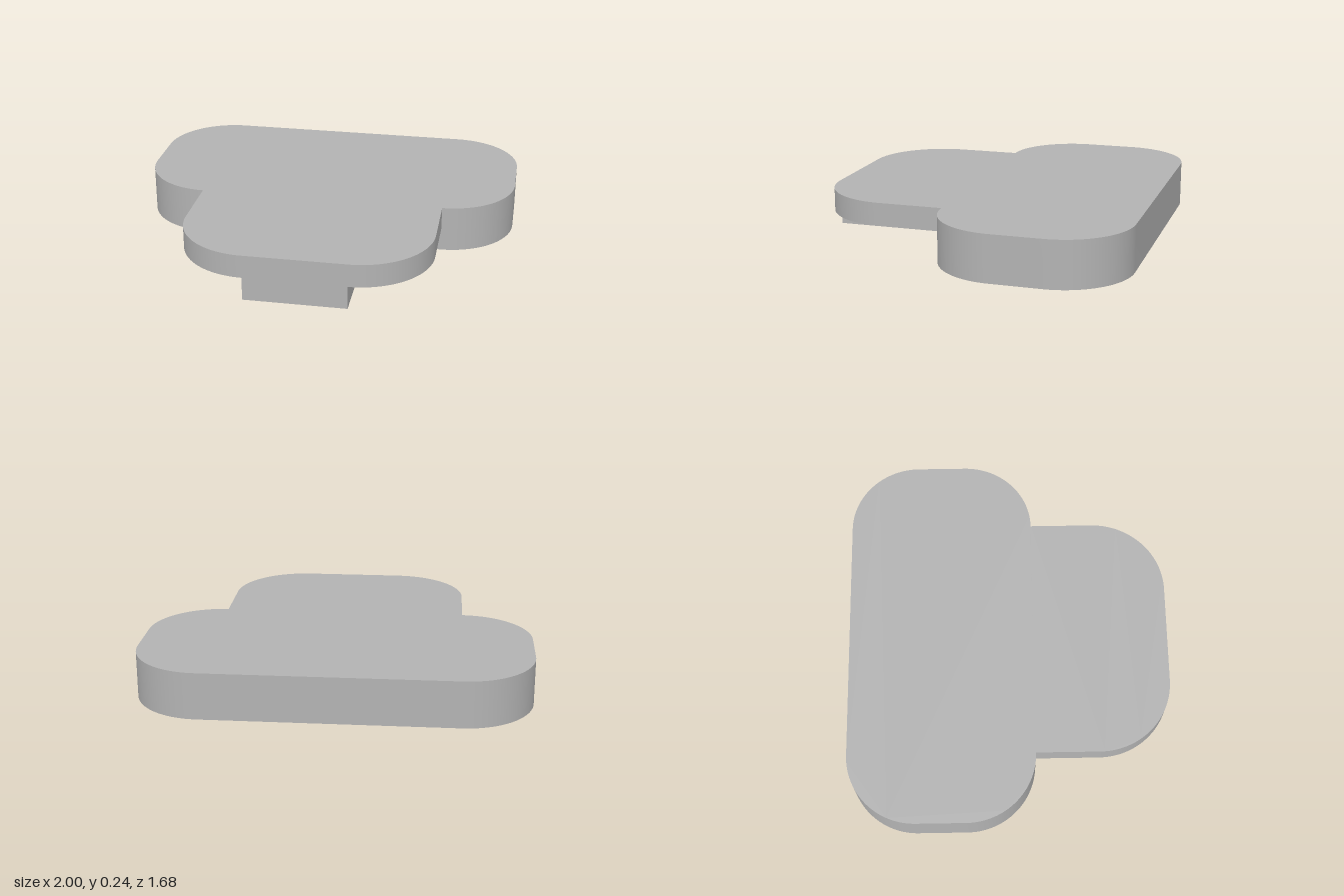
import * as THREE from 'three';
import { toCreasedNormals } from 'three/addons/utils/BufferGeometryUtils.js';

// Upright plate with its outline in x/z, rounded by rBack and rFront at the corners
function plate(halfW, zBack, zFront, yBottom, yTop, rBack, rFront) {
  const s = new THREE.Shape();
  const b = -zBack, f = -zFront; // shape y is -z
  s.moveTo(-halfW + rFront, f);
  s.lineTo(halfW - rFront, f);
  if (rFront) s.absarc(halfW - rFront, f + rFront, rFront, -Math.PI / 2, 0, false);
  s.lineTo(halfW, b - rBack);
  if (rBack) s.absarc(halfW - rBack, b - rBack, rBack, 0, Math.PI / 2, false);
  s.lineTo(-halfW + rBack, b);
  if (rBack) s.absarc(-halfW + rBack, b - rBack, rBack, Math.PI / 2, Math.PI, false);
  s.lineTo(-halfW, f + rFront);
  if (rFront) s.absarc(-halfW + rFront, f + rFront, rFront, Math.PI, Math.PI * 1.5, false);
  const g = new THREE.ExtrudeGeometry(s, { depth: yTop - yBottom, bevelEnabled: false, curveSegments: 24 });
  g.rotateX(-Math.PI / 2);
  g.translate(0, yBottom, 0);
  return toCreasedNormals(g, Math.PI / 6);
}

export function createModel() {
  const model = new THREE.Group();
  const grey = new THREE.MeshStandardMaterial({ color: 0xb3b3b3 });
  grey.name = 'plain grey';

  const add = (name, geometry) => {
    const mesh = new THREE.Mesh(geometry, grey);
    mesh.name = name;
    model.add(mesh);
  };

  // Full-height rear slab with four rounded corners
  add('rearSlab', plate(1, -0.845, 0.13, 0, 0.24, 0.36, 0.36));
  // Thinner front tab, rounded at its free end
  add('frontTab', plate(0.64, 0.13, 0.84, 0.12, 0.24, 0, 0.38));
  // Square rib carrying the tab
  add('supportRib', plate(0.26, 0.13, 0.84, 0, 0.12, 0, 0));

  return model;
}
